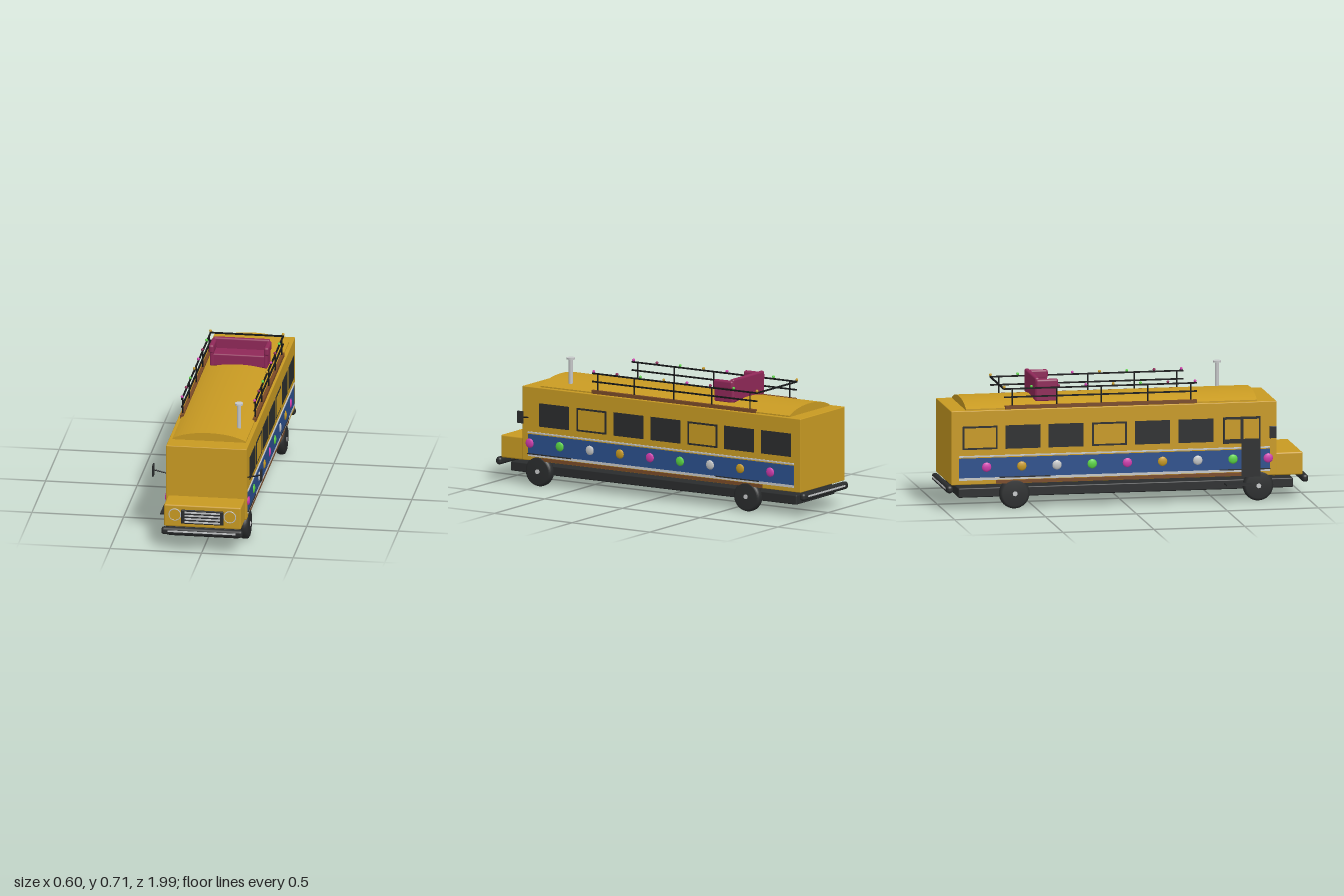
import * as THREE from 'three';
import { RoundedBoxGeometry } from 'three/addons/geometries/RoundedBoxGeometry.js';

const paint = (name, color) => {
  const m = new THREE.MeshStandardMaterial({ color });
  m.name = name;
  return m;
};

export function createModel() {
  const gold = paint('gold paint', 0xc89a22), blue = paint('blue paint', 0x2b4f8c);
  const dark = paint('dark rubber', 0x2a2c2d), black = paint('black iron', 0x161718);
  const silver = paint('silver trim', 0xc6c8c9), brown = paint('brown wood', 0x7a4a26);
  const plum = paint('plum cloth', 0x8f2858), pink = paint('pink lamp', 0xd03cae);
  const green = paint('green lamp', 0x5ad645);

  const bus = new THREE.Group();
  bus.name = 'bus';
  const add = (name, geo, mat, x = 0, y = 0, z = 0, parent = bus) => {
    const mesh = new THREE.Mesh(geo, mat);
    mesh.name = name;
    mesh.position.set(x, y, z);
    parent.add(mesh);
    return mesh;
  };
  // boxes given by their ranges
  const box = (name, mat, [x0, x1], [y0, y1], [z0, z1], radius = 0, parent = bus) => {
    const s = [x1 - x0, y1 - y0, z1 - z0];
    const geo = radius ? new RoundedBoxGeometry(...s, 3, radius) : new THREE.BoxGeometry(...s);
    return add(name, geo, mat, (x0 + x1) / 2, (y0 + y1) / 2, (z0 + z1) / 2, parent);
  };
  const rod = (name, mat, a, b, r, parent = bus) => {
    const p = new THREE.Vector3(...a), q = new THREE.Vector3(...b), d = q.clone().sub(p);
    const mesh = add(name, new THREE.CylinderGeometry(r, r, d.length(), 8), mat, 0, 0, 0, parent);
    mesh.position.copy(p).add(q).multiplyScalar(0.5);
    mesh.quaternion.setFromUnitVectors(new THREE.Vector3(0, 1, 0), d.normalize());
    return mesh;
  };

  // main shell, hood and chassis
  box('body', gold, [-0.22, 0.22], [0.14, 0.545], [-0.965, 0.825], 0.004);
  box('hood', gold, [-0.21, 0.21], [0.135, 0.26], [0.8, 0.97], 0.008);
  box('chassis', dark, [-0.192, 0.192], [0.065, 0.117], [-0.92, 0.92], 0.006);

  // arched roof
  const arch = new THREE.Shape();
  arch.moveTo(-0.2, 0.54);
  arch.lineTo(0.2, 0.54);
  arch.lineTo(0.2, 0.552);
  arch.quadraticCurveTo(0.12, 0.59, 0, 0.59);
  arch.quadraticCurveTo(-0.12, 0.59, -0.2, 0.552);
  add('roof', new THREE.ExtrudeGeometry(arch, { depth: 1.6, bevelEnabled: false, curveSegments: 12 }), gold, 0, 0, -0.88);

  // bumpers with a bright stripe
  for (const [name, z, s] of [['frontBumper', 0.982, 1], ['rearBumper', -0.972, -1]]) {
    box(name, dark, [-0.222, 0.222], [0.095, 0.137], [z - 0.018, z + 0.018], 0.016);
    box(name + 'Stripe', silver, [-0.185, 0.185], [0.114, 0.123], [z + s * 0.018 - 0.003, z + s * 0.018 + 0.002]);
  }

  // grille and headlights
  box('grille', dark, [-0.115, 0.115], [0.156, 0.235], [0.965, 0.977], 0.003);
  for (let i = 0; i < 4; i++) {
    const y = 0.168 + i * 0.018;
    box('grilleBar', silver, [-0.097, 0.097], [y - 0.0045, y + 0.0045], [0.975, 0.98]);
  }
  for (const s of [-1, 1]) {
    add('headlightRing', new THREE.TorusGeometry(0.032, 0.003, 8, 28), silver, s * 0.15, 0.205, 0.972);
    add('headlight', new THREE.CylinderGeometry(0.031, 0.031, 0.008, 28), gold, s * 0.15, 0.205, 0.97).rotation.x = Math.PI / 2;
  }

  // wheels
  const tyre = [[0, -0.025], [0.068, -0.025], [0.079, -0.019], [0.083, -0.008], [0.083, 0.008], [0.079, 0.019], [0.068, 0.025], [0, 0.025]];
  const tyreGeo = new THREE.LatheGeometry(tyre.map(([r, y]) => new THREE.Vector2(r, y)), 32);
  for (const s of [-1, 1]) for (const z of [0.725, -0.615]) {
    const wheel = new THREE.Group();
    wheel.name = 'wheel';
    wheel.position.set(s * 0.2, 0.084, z);
    wheel.rotation.z = -s * Math.PI / 2;
    bus.add(wheel);
    add('tyre', tyreGeo, dark, 0, 0, 0, wheel);
    add('hubcap', new THREE.CylinderGeometry(0.013, 0.013, 0.006, 12), silver, 0, 0.026, 0, wheel);
  }

  // side trim, windows, lamps and mirrors
  const lampGeo = new THREE.IcosahedronGeometry(0.027, 1).scale(0.35, 1, 1);
  const lampColours = [pink, green, silver, gold];
  const windowZ = [0.62, 0.38, 0.142, -0.096, -0.334, -0.57, -0.807];
  for (const s of [-1, 1]) {
    const side = new THREE.Group();
    side.name = s > 0 ? 'leftSide' : 'rightSide';
    bus.add(side);
    const plate = (name, mat, y, z, depth = 0.003) =>
      box(name, mat, s > 0 ? [0.219, 0.22 + depth] : [-0.22 - depth, -0.219], y, z, 0, side);
    plate('bluePanel', blue, [0.178, 0.285], [-0.922, 0.788]);
    plate('upperTrim', silver, [0.291, 0.299], [-0.922, 0.788], 0.005);
    plate('lowerTrim', silver, [0.164, 0.178], [-0.922, 0.788], 0.004);
    plate('skirt', brown, [0.142, 0.161], [-0.72, 0.7], 0.002);
    for (const z of [0.65, -0.56]) plate('fender', dark, [0.174, 0.18], [z - 0.14, z + 0.14], 0.006);

    windowZ.forEach((z, i) => {
      if (s < 0 && i === 0) return;
      const open = s > 0 ? i === 1 || i === 4 : i === 3 || i === 6;
      plate('windowFrame', dark, [0.332, 0.46], [z - 0.096, z + 0.096], 0.003);
      if (open) plate('windowPanel', gold, [0.342, 0.45], [z - 0.086, z + 0.086], 0.004);
    });
    for (let i = 0; i < 9; i++)
      add('sideLamp', lampGeo, lampColours[i % 4], s * 0.222, 0.235, 0.777 - i * 0.1935, side);

    rod('mirrorArm', black, [s * 0.215, 0.373, 0.79], [s * 0.293, 0.39, 0.79], 0.004, side);
    box('mirror', dark, [s * 0.294 - 0.004, s * 0.294 + 0.004], [0.355, 0.422], [0.77, 0.81], 0.003, side);
  }

  // folding door and entry step
  const door = new THREE.Group();
  door.name = 'door';
  bus.add(door);
  box('doorTop', dark, [-0.225, -0.219], [0.32, 0.465], [0.53, 0.735], 0, door);
  box('doorLeaf', dark, [-0.227, -0.219], [0.135, 0.38], [0.63, 0.735], 0, door);
  for (const z of [0.54, 0.64]) box('doorPane', gold, [-0.228, -0.222], [0.345, 0.452], [z, z + 0.085], 0, door);
  box('entryStep', dark, [-0.273, -0.18], [0.094, 0.102], [0.54, 0.68]);

  // roof railing with small lamps
  const rail = new THREE.Group();
  rail.name = 'roofRailing';
  bus.add(rail);
  for (const s of [-1, 1]) {
    const x = s * 0.198;
    box('railBase', brown, [x - 0.009, x + 0.009], [0.545, 0.564], [-0.665, 0.39], 0, rail);
    for (const y of [0.61, 0.655]) box('rail', black, [x - 0.004, x + 0.004], [y - 0.004, y + 0.004], [-0.67, 0.39], 0, rail);
    for (const z of [0.355, 0.12, -0.135, -0.38, -0.625]) rod('railPost', black, [x, 0.555, z], [x, 0.655, z], 0.004, rail);
    for (let i = 0; i < 8; i++)
      add('railLamp', new THREE.IcosahedronGeometry(0.008, 1), [pink, plum, green, gold][i % 4], x, 0.666, 0.38 - i * 0.15, rail);
  }
  box('rearRail', black, [-0.2, 0.2], [0.651, 0.659], [-0.674, -0.666], 0, rail);

  // rooftop sofa
  const sofa = new THREE.Group();
  sofa.name = 'sofa';
  bus.add(sofa);
  box('seat', plum, [-0.155, 0.155], [0.575, 0.645], [-0.485, -0.372], 0.008, sofa);
  box('backrest', plum, [-0.155, 0.155], [0.575, 0.704], [-0.492, -0.466], 0.01, sofa);
  for (const s of [-1, 1]) {
    box('armSide', plum, [s * 0.147 - 0.01, s * 0.147 + 0.01], [0.575, 0.68], [-0.485, -0.368], 0.006, sofa);
    box('armRest', plum, [s * 0.15 - 0.014, s * 0.15 + 0.014], [0.646, 0.695], [-0.488, -0.364], 0.012, sofa);
  }

  // stove pipe
  rod('chimney', silver, [0.14, 0.56, 0.565], [0.14, 0.71, 0.565], 0.012);
  add('chimneyCap', new THREE.CylinderGeometry(0.023, 0.023, 0.01, 16), silver, 0.14, 0.71, 0.565);

  return bus;
}
